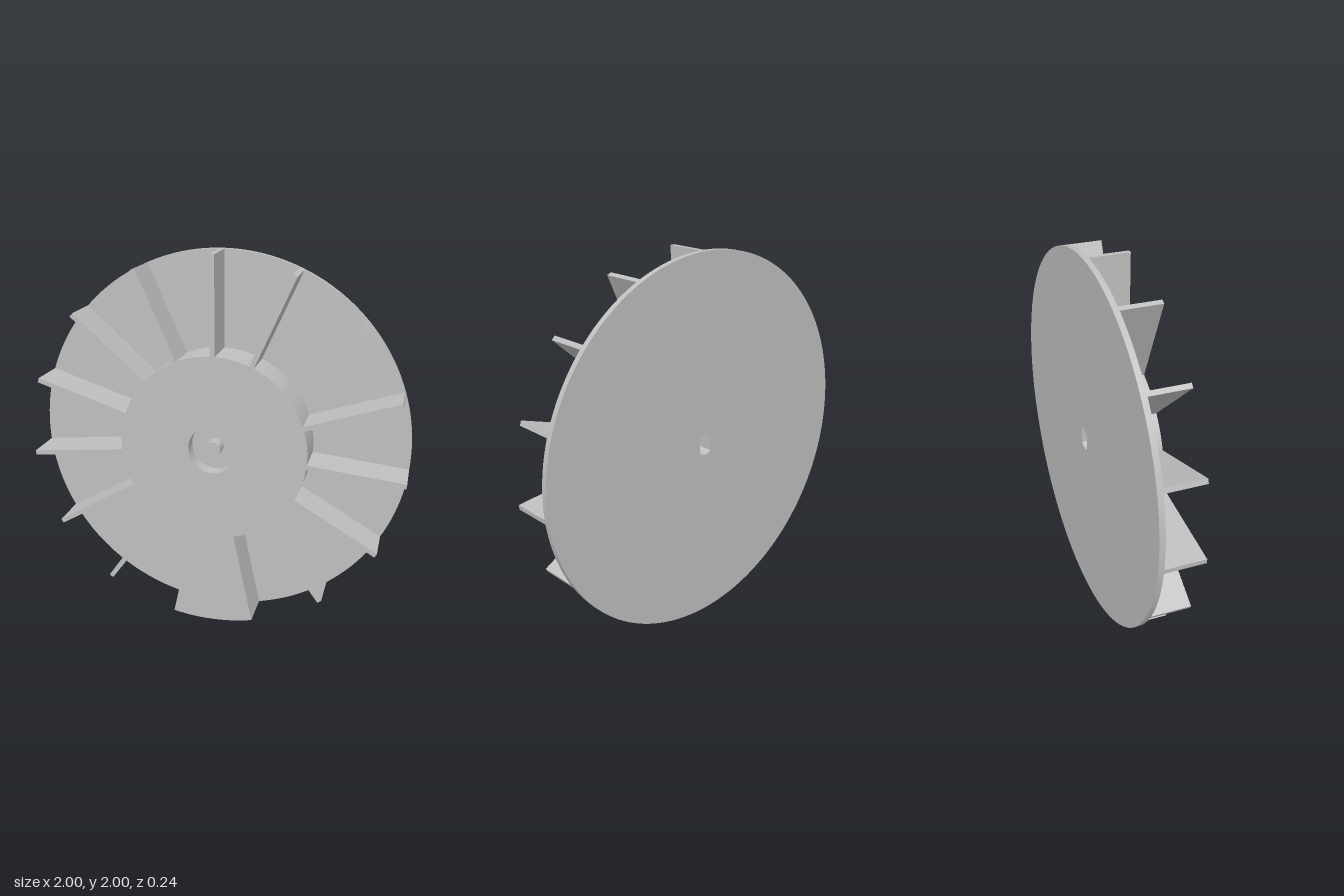
import * as THREE from 'three';
import { toCreasedNormals } from 'three/addons/utils/BufferGeometryUtils.js';

const BACK = -0.12, DISC_FRONT = -0.09, SLOT_END = 0.03, FLOOR = 0.045, FRONT = 0.12;
const R = 1, HUB_R = 0.495, RECESS_R = 0.128, PEG_R = 0.042, HALF_BLADE = 0.0125;
const STEP = (Math.PI * 2) / 15;

const metal = new THREE.MeshStandardMaterial({ color: 0xbfbfbf });
metal.name = 'plain grey';

const circle = (r, Type = THREE.Shape) => new Type().absarc(0, 0, r, 0, Math.PI * 2, false);

// Round hole with two flat sides
function slotHole() {
  const r = 0.058, t = Math.acos(0.038 / r);
  const p = new THREE.Path();
  p.absarc(0, 0, r, t, Math.PI - t, false);
  p.absarc(0, 0, r, Math.PI + t, Math.PI * 2 - t, false);
  p.closePath();
  return p;
}

// Extrude a shape between two depths, smooth on curves and sharp on edges
function slab(name, shape, z0, z1, curveSegments) {
  const geo = new THREE.ExtrudeGeometry(shape, { depth: z1 - z0, bevelEnabled: false, curveSegments });
  geo.translate(0, 0, z0);
  const mesh = new THREE.Mesh(toCreasedNormals(geo, 0.4), metal);
  mesh.name = name;
  return mesh;
}

// Hub outline with 13 thin blades and a solid wedge in place of the bottom gap
function bladedHubShape() {
  const s = new THREE.Shape();
  const outer = Math.asin(HALF_BLADE / R), inner = Math.asin(HALF_BLADE / HUB_R);
  const first = -Math.PI / 2 + STEP / 2;
  // Wedge rim, between the outer faces of the two lowest blade positions
  s.absarc(0, 0, R, -Math.PI / 2 - STEP / 2 - outer, first + outer, false);
  for (let i = 0; i < 14; i++) {
    const a = first + i * STEP;
    s.absarc(0, 0, HUB_R, a + inner, a + STEP - inner, false);
    if (i < 13) s.absarc(0, 0, R, a + STEP - outer, a + STEP + outer, false);
  }
  s.closePath();
  s.holes.push(circle(RECESS_R, THREE.Path));
  return s;
}

export function createModel() {
  const wheel = new THREE.Group();
  wheel.name = 'fanWheel';
  wheel.position.y = 1;

  // Back disc, pierced by the shaft slot
  const disc = circle(R);
  disc.holes.push(slotHole());
  wheel.add(slab('backDisc', disc, BACK, DISC_FRONT, 128));

  // Hub, blades and counterweight wedge
  wheel.add(slab('bladedHub', bladedHubShape(), DISC_FRONT, FRONT, 16));

  // Core around the shaft slot, and the recess floor that closes it
  const core = circle(RECESS_R);
  core.holes.push(slotHole());
  wheel.add(slab('shaftCore', core, DISC_FRONT, SLOT_END, 24));
  wheel.add(slab('recessFloor', circle(RECESS_R), SLOT_END, FLOOR, 24));

  // Centre peg
  wheel.add(slab('centrePeg', circle(PEG_R), FLOOR, FRONT, 24));

  const model = new THREE.Group();
  model.name = 'model';
  model.add(wheel);
  return model;
}
